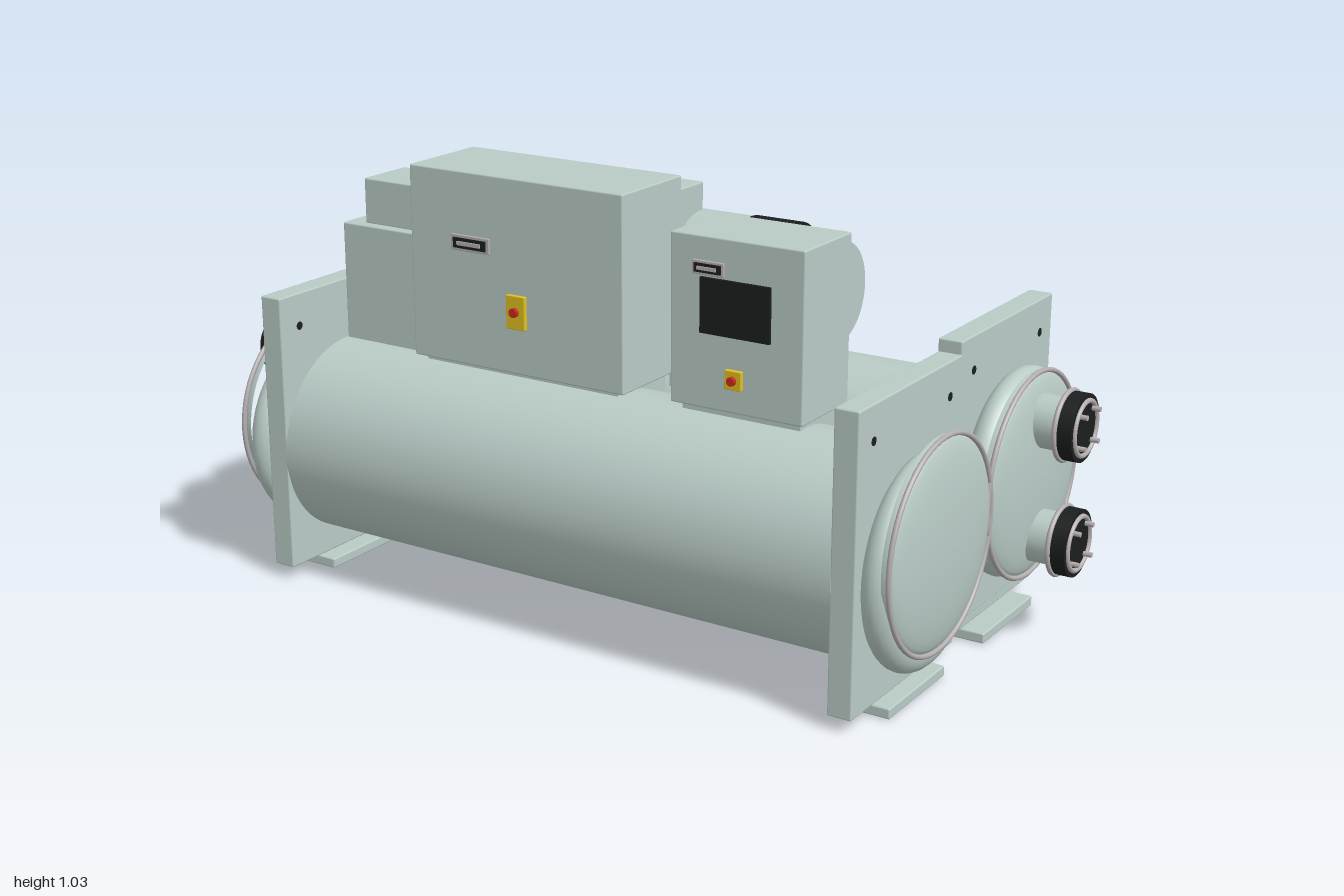
import * as THREE from 'three';
import { RoundedBoxGeometry } from 'three/addons/geometries/RoundedBoxGeometry.js';

const material = (color, extra = {}) => new THREE.MeshStandardMaterial({ color, ...extra });
const paint = material(0xb9cbc6);
const dark = material(0x1c1f1f);
const steel = material(0xb5aeb0);
const yellow = material(0xe0c020);
const red = material(0xc82a1e);

export function createModel() {
  const model = new THREE.Group();

  const add = (name, geometry, mat, parent = model) => {
    const mesh = new THREE.Mesh(geometry, mat);
    mesh.name = name;
    parent.add(mesh);
    return mesh;
  };

  // Box from its minimum and maximum on each axis
  const box = (name, x0, x1, y0, y1, z0, z1, mat = paint, round = 0.004) => {
    const w = x1 - x0, h = y1 - y0, d = z1 - z0;
    const geo = round
      ? new RoundedBoxGeometry(w, h, d, 2, round)
      : new THREE.BoxGeometry(w, h, d);
    return add(name, geo.translate((x0 + x1) / 2, (y0 + y1) / 2, (z0 + z1) / 2), mat);
  };

  // Solid of revolution along x; profile is [radius, x], mirrored when side is -1
  const turned = (name, profile, side, x, y, z, mat = paint, segments = 64) => {
    const points = profile.map(([r, t]) => new THREE.Vector2(r, t));
    const geo = new THREE.LatheGeometry(points, segments);
    geo.rotateZ(-side * Math.PI / 2);
    const mesh = add(name, geo, mat);
    mesh.position.set(x, y, z);
    return mesh;
  };

  // Closed cylinder along x
  const rod = (name, r, x0, x1, y, z, mat = paint, segments = 48) => {
    const geo = new THREE.CylinderGeometry(r, r, x1 - x0, segments).rotateZ(-Math.PI / 2);
    const mesh = add(name, geo, mat);
    mesh.position.set((x0 + x1) / 2, y, z);
    return mesh;
  };

  // Ring lying in the yz plane
  const ring = (name, r, tube, x, y, z, mat = steel) => {
    const geo = new THREE.TorusGeometry(r, tube, 10, 64).rotateY(Math.PI / 2);
    const mesh = add(name, geo, mat);
    mesh.position.set(x, y, z);
    return mesh;
  };

  // Two long pressure vessels
  const middle = -0.015;
  rod('frontVessel', 0.242, -0.76, 0.73, 0.32, 0.23, paint, 64);
  rod('backVessel', 0.235, -0.76, 0.73, 0.345, -0.235, paint, 64);

  // Bulged head behind each cap, and the shallow domed cap itself
  const bulge = [[0.21, -0.01]];
  for (let i = 0; i <= 12; i++) {
    const a = -Math.PI / 2 + Math.PI * i / 12;
    bulge.push([0.2 + 0.045 * Math.cos(a), 0.037 + 0.037 * Math.sin(a)]);
  }
  bulge.push([0, 0.074]);
  const dome = [[0.238, -0.012]];
  for (let i = 0; i <= 10; i++) {
    const a = Math.PI / 2 * i / 10;
    dome.push([0.238 * Math.cos(a), 0.035 * Math.sin(a)]);
  }

  for (const side of [1, -1]) {
    const at = (d) => middle + side * d;
    const span = (a, b) => [Math.min(at(a), at(b)), Math.max(at(a), at(b))];

    // End plates with lifting holes
    box('frontEndPlate', ...span(0.742, 0.8), 0.03, 0.71, -0.01, 0.47);
    box('backEndPlate', ...span(0.742, 0.8), 0.065, 0.74, -0.475, 0.004);
    for (const [y, z] of [[0.63, 0.405], [0.63, 0.055], [0.66, -0.06], [0.66, -0.41]]) {
      rod('liftingHole', 0.01, ...span(0.741, 0.801), y, z, dark, 20);
    }

    // Feet
    box('frontFoot', ...span(0.705, 0.835), 0, 0.025, 0.1, 0.363);
    box('backFoot', ...span(0.705, 0.835), 0, 0.025, -0.367, -0.1);
    box('backFootPad', ...span(0.745, 0.797), 0.043, 0.066, -0.44, -0.03);

    // Heads, caps and clamp rings
    turned('frontHead', bulge, side, at(0.8), 0.32, 0.23);
    turned('backHead', bulge, side, at(0.8), 0.38, -0.235);
    for (const [name, y, z] of [['front', 0.363, 0.23], ['back', 0.38, -0.235]]) {
      turned(name + 'Cap', dome, side, at(0.87), y, z);
      ring(name + 'ClampRing', 0.241, 0.006, at(0.877), y, z);
    }

    // Water nozzles: back vessel on one end, front vessel on the other
    const nz = side > 0 ? -0.235 : 0.23;
    const sx = (a, b) => [Math.min(side * a, side * b), Math.max(side * a, side * b)];
    for (const y of [0.237, 0.512]) {
      rod('nozzleNeck', 0.062, ...sx(0.86, 0.95), y, nz);
      rod('nozzleGrip', 0.079, ...sx(0.945, 0.98), y, nz, dark);
      ring('nozzleCollar', 0.08, 0.006, side * 0.94, y, nz);
      ring('nozzleRing', 0.063, 0.006, side * 0.981, y, nz);
      for (const dy of [-1, 1]) for (const dz of [-1, 1]) {
        rod('nozzleBolt', 0.006, ...sx(0.975, 1), y + dy * 0.037, nz + dz * 0.037, steel, 12);
      }
    }
  }

  // Main electrical cabinet and its side enclosure
  box('mainCabinet', -0.505, 0.09, 0.57, 1.03, 0.04, 0.282);
  box('cabinetBase', -0.48, 0.065, 0.5, 0.572, 0.07, 0.265, paint, 0);
  box('cabinetBackRail', -0.475, 0.055, 0.58, 0.63, 0.006, 0.045, dark, 0);
  box('sideEnclosure', -0.755, -0.5, 0.54, 0.85, 0.045, 0.235);
  box('ventBox', -0.705, -0.525, 0.848, 0.96, 0.06, 0.21);

  // Operator panel
  box('operatorPanel', 0.21, 0.545, 0.577, 0.965, 0.07, 0.274);
  box('panelBase', 0.23, 0.53, 0.5, 0.58, 0.09, 0.255, paint, 0);
  box('panelScreen', 0.29, 0.465, 0.75, 0.875, 0.27, 0.282, dark, 0);

  // Latch: steel plate with a dark slot and raised grip
  const latch = (x, y, z, w, h) => {
    box('latchPlate', x - w / 2, x + w / 2, y - h / 2, y + h / 2, z - 0.005, z + 0.005, steel, 0.002);
    box('latchSlot', x - w * 0.42, x + w * 0.42, y - h * 0.32, y + h * 0.32, z, z + 0.008, dark, 0);
    box('latchGrip', x - w * 0.3, x + w * 0.3, y - h * 0.12, y + h * 0.12, z, z + 0.012, steel, 0);
  };
  latch(-0.33, 0.863, 0.282, 0.11, 0.038);
  latch(0.308, 0.895, 0.274, 0.08, 0.032);

  // Emergency switch: yellow plate with a red knob
  const emergencySwitch = (x, y0, y1, knobY, z, w, r) => {
    box('switchPlate', x - w / 2, x + w / 2, y0, y1, z - 0.004, z + 0.01, yellow, 0.002);
    const geo = new THREE.CylinderGeometry(r, r, 0.02, 24).rotateX(Math.PI / 2);
    add('switchKnob', geo, red).position.set(x, knobY, z + 0.01);
  };
  emergencySwitch(-0.2, 0.68, 0.76, 0.722, 0.282, 0.052, 0.011);
  emergencySwitch(0.376, 0.633, 0.677, 0.655, 0.274, 0.042, 0.01);

  // Compressor with dark band, smaller motor end, terminal box and saddle
  const cz = -0.115;
  const bodyProfile = [[0, 0], [0.122, 0], [0.128, 0.003], [0.13, 0.01], [0.13, 0.41]];
  turned('compressorBody', bodyProfile, -1, 0.18, 0.783, cz).scale.x = 1;
  turned('compressorEndCap', [[0.13, 0], [0.127, 0.006], [0.12, 0.01], [0, 0.01]], -1, -0.22, 0.783, cz);
  rod('compressorBand', 0.133, 0.182, 0.3, 0.783, cz, dark, 64);
  rod('motorEnd', 0.12, 0.29, 0.42, 0.766, cz, paint, 64);
  box('terminalBox', -0.1, 0.045, 0.885, 0.98, -0.125, -0.01);
  box('compressorSaddle', 0, 0.185, 0.46, 0.7, -0.18, -0.05, paint, 0);

  return model;
}
